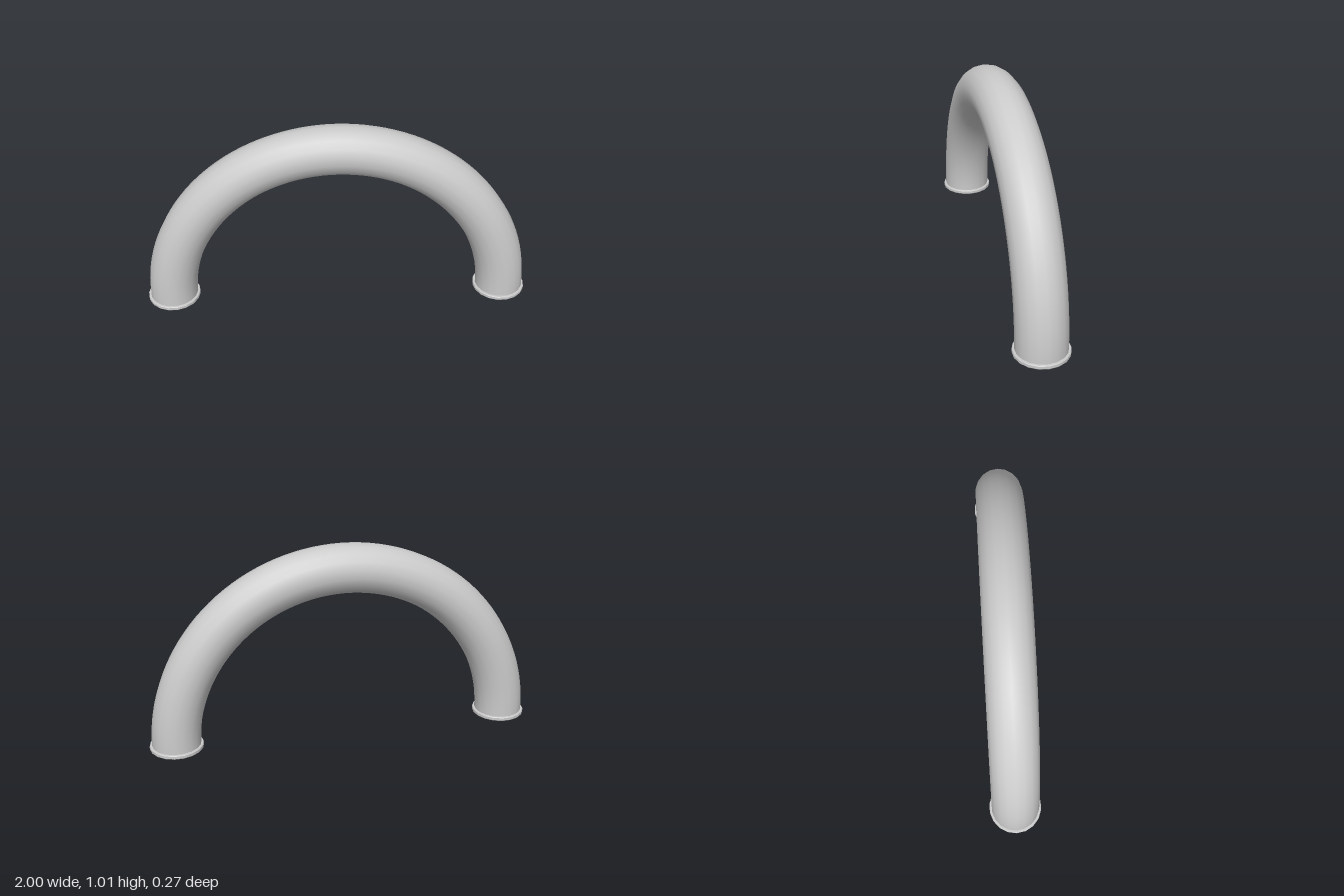
import * as THREE from 'three';
import { toCreasedNormals } from 'three/addons/utils/BufferGeometryUtils.js';

const ARCH_RADIUS = 0.864;
const TUBE_RADIUS = 0.124;
const SIDES = 18;
const COLLAR_HEIGHT = 0.021;

export function createModel() {
  const group = new THREE.Group();
  group.name = 'archedPipe';
  const material = new THREE.MeshStandardMaterial({ color: 0xcccccc, side: THREE.DoubleSide });

  // hollow half-circle pipe, open at both ends
  const pipe = new THREE.Mesh(
    new THREE.TorusGeometry(ARCH_RADIUS, TUBE_RADIUS, SIDES, 64, Math.PI), material);
  pipe.name = 'pipe';
  pipe.position.y = 0.019;
  group.add(pipe);

  // thin collar ring with chamfered edges, open in the middle
  const profile = [
    [0.12, 0], [0.133, 0], [0.136, 0.004], [0.136, 0.017],
    [0.133, COLLAR_HEIGHT], [0.12, COLLAR_HEIGHT], [0.12, 0],
  ].map(([r, y]) => new THREE.Vector2(r, y));
  const collarGeometry = toCreasedNormals(
    new THREE.LatheGeometry(profile, SIDES, Math.PI / 2), 0.6);

  for (const [name, side] of [['leftCollar', 1], ['rightCollar', -1]]) {
    const collar = new THREE.Mesh(collarGeometry, material);
    collar.name = name;
    collar.position.x = side * ARCH_RADIUS;
    group.add(collar);
  }
  return group;
}
